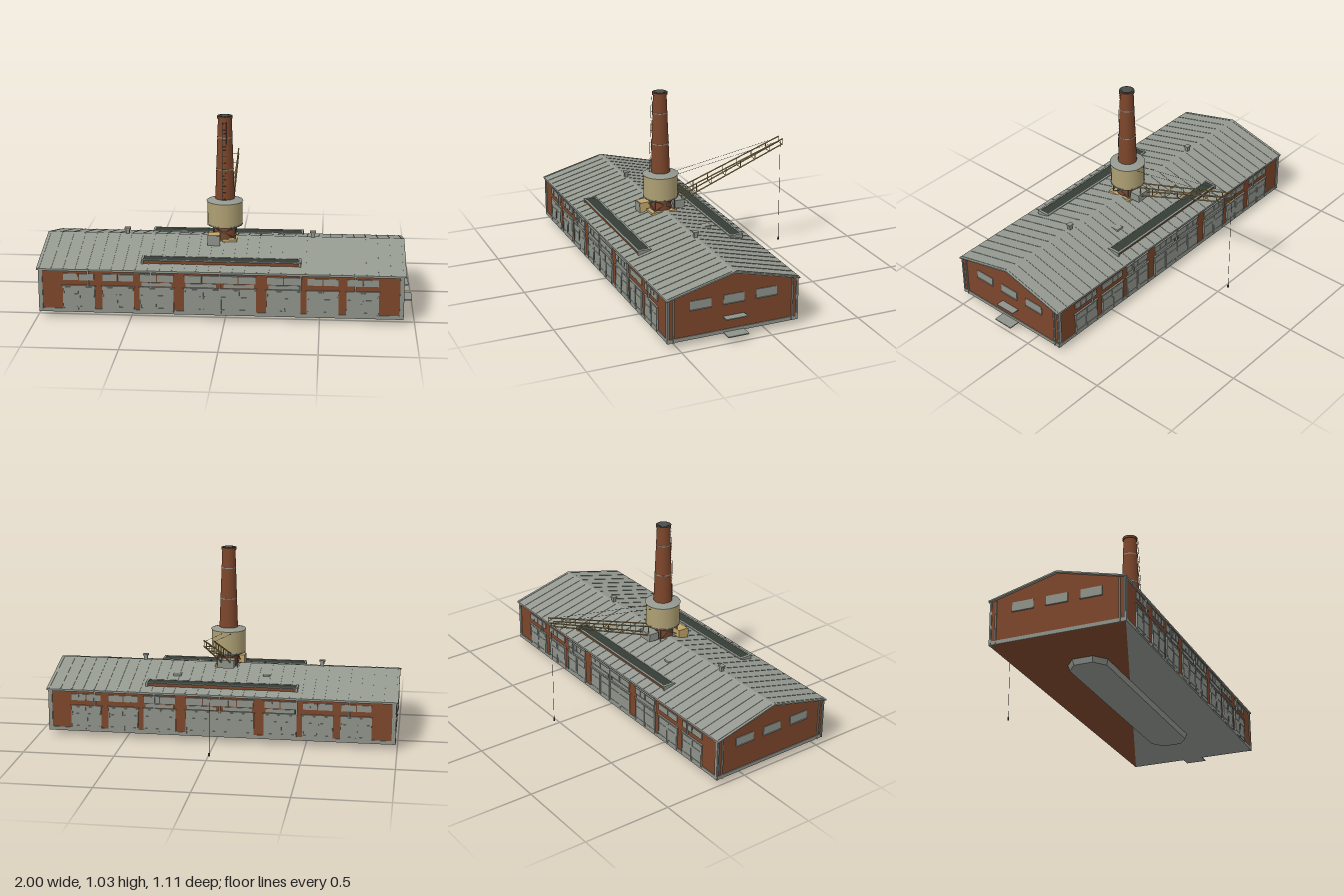
import * as THREE from 'three';

const mat = (name, color, side = THREE.FrontSide) => {
  const m = new THREE.MeshStandardMaterial({ color, side });
  m.name = name;
  return m;
};

export function createModel() {
  const brick = mat('brick', 0x7c462b);
  const roofGrey = mat('roof grey', 0x949990);
  const steel = mat('steel grey', 0x8d928a);
  const glass = mat('dark glass', 0x363d37);
  const tan = mat('tank tan', 0xaea074);
  const yellow = mat('crane ochre', 0xc2a468);
  const darkMetal = mat('dark metal', 0x4a4d49);
  const model = new THREE.Group();
  model.name = 'industrialBuilding';

  const add = (parent, name, geo, m, x = 0, y = 0, z = 0) => {
    const mesh = new THREE.Mesh(geo, m);
    mesh.name = name;
    mesh.position.set(x, y, z);
    parent.add(mesh);
    return mesh;
  };
  const box = (parent, name, m, w, h, d, x, y, z) =>
    add(parent, name, new THREE.BoxGeometry(w, h, d), m, x, y, z);
  // Bar between two points
  const bar = (parent, name, m, a, b, r, sides = 6) => {
    const p = new THREE.Vector3(...a), q = new THREE.Vector3(...b);
    const mesh = add(parent, name, new THREE.CylinderGeometry(r, r, p.distanceTo(q), sides), m);
    mesh.position.copy(p).add(q).multiplyScalar(0.5);
    mesh.quaternion.setFromUnitVectors(new THREE.Vector3(0, 1, 0), q.sub(p).normalize());
    return mesh;
  };
  const shapeOf = pts => new THREE.Shape(pts.map(p => new THREE.Vector2(...p)));
  // Outline given as [z, y] pairs, extruded along x and centred
  const alongX = (pts, length) =>
    new THREE.ExtrudeGeometry(shapeOf(pts), { depth: length, bevelEnabled: false })
      .translate(0, 0, -length / 2).rotateY(-Math.PI / 2);

  // Everything shares the centre of the hall
  const hall = new THREE.Group();
  hall.name = 'hall';
  hall.position.set(-0.025, 0, 0.187);
  model.add(hall);

  // Walls, plinth, underside
  add(hall, 'walls', alongX([[-0.36, 0.034], [0.36, 0.034], [0.36, 0.265], [0, 0.356], [-0.36, 0.265]], 1.92), brick);
  box(hall, 'plinth', steel, 1.928, 0.02, 0.728, 0, 0.04, 0);
  add(hall, 'brickUnderside', new THREE.ShapeGeometry(shapeOf([[-0.96, -0.36], [0.96, -0.36], [-0.96, 0.36]]))
    .rotateX(Math.PI / 2), brick, 0, 0.0295, 0);

  // Foundation slab with chamfered ends, narrowing downwards
  const outline = [[-0.64, -0.055], [-0.575, -0.109], [0.575, -0.109], [0.64, -0.055],
    [0.64, 0.055], [0.575, 0.109], [-0.575, 0.109], [-0.64, 0.055]];
  const slab = new THREE.ExtrudeGeometry(shapeOf(outline), { depth: 0.03, bevelEnabled: false }).rotateX(-Math.PI / 2);
  const sp = slab.attributes.position;
  for (let i = 0; i < sp.count; i++) {
    if (sp.getY(i) < 0.01) sp.setXYZ(i, sp.getX(i) * 0.985, 0, sp.getZ(i) * 0.93);
  }
  slab.computeVertexNormals();
  add(hall, 'foundation', slab, steel, -0.012, 0, 0);

  // Gable roof with standing seams
  const roofY = z => 0.364 - 0.257 * Math.abs(z);
  add(hall, 'roof', alongX([[0, 0.356], [0.368, 0.262], [0.368, 0.269], [0, 0.364], [-0.368, 0.269], [-0.368, 0.262]], 1.95), roofGrey);
  for (const s of [-1, 1]) {
    for (let i = 0; i <= 30; i++) {
      const seam = box(hall, 'roofSeam', roofGrey, 0.004, 0.003, 0.36, -0.96 + i * 0.064, roofY(0.187) + 0.0005, s * 0.187);
      seam.rotation.x = s * Math.atan(0.257);
    }
    // Long roof light: brick curb, glass and grey frame
    box(hall, 'roofLightCurb', brick, 0.83, 0.035, 0.062, 0, 0.287, s * 0.266);
    box(hall, 'roofLightGlass', glass, 0.834, 0.004, 0.064, 0, 0.3065, s * 0.266);
    for (const z of [0.232, 0.3]) box(hall, 'roofLightRail', steel, 0.846, 0.006, 0.01, 0, 0.307, s * z);
    for (const x of [-0.418, 0.418]) box(hall, 'roofLightEnd', steel, 0.012, 0.03, 0.074, x, 0.296, s * 0.266);
    box(hall, 'gutter', steel, 1.93, 0.008, 0.008, 0, 0.262, s * 0.364);
  }
  // Ridge vents and roof hatches
  for (const x of [-0.535, 0.48]) {
    box(hall, 'ridgeVent', steel, 0.02, 0.03, 0.018, x, 0.37, 0);
    box(hall, 'ventCap', steel, 0.032, 0.008, 0.026, x, 0.391, 0);
  }
  box(hall, 'roofHatch', roofGrey, 0.045, 0.02, 0.045, 0.267, 0.32, -0.155);
  box(hall, 'roofHatch', roofGrey, 0.04, 0.02, 0.024, -0.235, 0.325, -0.135);

  // Long facades: doors, transom windows, lintels and downpipes
  const bays = [[0, 0.38, 4], ...[-1, 1].flatMap(s => [[s * 0.335, 0.18, 2], [s * 0.54, 0.168, 2], [s * 0.75, 0.17, 2]])];
  for (const turn of [0, Math.PI]) {
    const f = new THREE.Group();
    f.name = turn ? 'backFacade' : 'frontFacade';
    f.rotation.y = turn;
    hall.add(f);
    for (const [x, w, leaves] of bays) {
      const leaf = w / leaves;
      for (let i = 0; i < leaves; i++) {
        const c = x - w / 2 + leaf * (i + 0.5);
        box(f, 'doorLeaf', steel, leaf, 0.136, 0.008, c, 0.107, 0.362);
        for (const y of [0.06, 0.13, 0.168]) box(f, 'doorRail', steel, leaf - 0.008, 0.006, 0.003, c, y, 0.3665);
        for (const o of [-1, 1]) box(f, 'doorStile', steel, 0.005, 0.128, 0.003, c + o * (leaf / 2 - 0.005), 0.107, 0.3665);
        box(f, 'transomWindow', steel, leaf - 0.006, 0.036, 0.008, c, 0.226, 0.361);
        box(f, 'windowBar', steel, 0.003, 0.034, 0.002, c, 0.226, 0.3655);
      }
      box(f, 'doorTrack', steel, w + 0.012, 0.005, 0.012, x, 0.177, 0.363);
      if (Math.abs(x) < 0.4) {
        for (const s of leaves > 2 ? [-1, 1] : [0]) box(f, 'lintelPlate', steel, 0.16, 0.02, 0.007, x + s * 0.1, 0.193, 0.361);
        box(f, 'canopy', steel, w, 0.004, 0.012, x, 0.247, 0.364);
      }
    }
    for (const x of [0, -0.365, 0.425, -0.7, 0.71]) box(f, 'downpipe', steel, 0.009, 0.09, 0.01, x, 0.22, 0.364);
    for (const x of [-0.953, 0.953]) box(f, 'cornerPost', steel, 0.018, 0.235, 0.012, x, 0.147, 0.359);
  }

  // Gable ends: windows and corner strips
  for (const s of [-1, 1]) {
    for (const z of [-0.183, 0, 0.183]) {
      box(hall, 'gableWindow', steel, 0.008, 0.05, 0.115, s * 0.96, 0.215, z);
      box(hall, 'windowSill', steel, 0.014, 0.004, 0.118, s * 0.962, 0.191, z);
    }
    for (const z of [-0.33, 0.33]) box(hall, 'gablePilaster', steel, 0.01, 0.235, 0.008, s * 0.962, 0.147, z);
    for (const z of [-0.358, 0.358]) box(hall, 'cornerStrip', steel, 0.01, 0.235, 0.008, s * 0.961, 0.147, z);
  }
  // Entrance step and canopy on one gable
  box(hall, 'entranceStep', steel, 0.065, 0.006, 0.115, 0.9925, 0.033, 0);
  box(hall, 'entranceCanopy', steel, 0.045, 0.006, 0.118, 0.98, 0.12, 0);

  // Chimney with dark mouth and steel bands
  const stack = new THREE.Group();
  stack.name = 'chimney';
  hall.add(stack);
  add(stack, 'chimneyShaft', new THREE.CylinderGeometry(0.037, 0.061, 0.69, 24, 1, true), brick, 0, 0.675, 0);
  add(stack, 'chimneyCap', new THREE.CylinderGeometry(0.042, 0.042, 0.014, 24), [brick, glass, brick], 0, 1.023, 0);
  add(stack, 'flue', new THREE.CylinderGeometry(0.03, 0.03, 0.004, 24), darkMetal, 0, 1.03, 0);
  for (const y of [0.915, 0.74]) {
    const r = 0.061 - ((y - 0.33) / 0.69) * 0.024 + 0.001;
    add(stack, 'chimneyBand', new THREE.CylinderGeometry(r, r, 0.005, 24), steel, 0, y, 0);
  }
  // Ladder
  for (const x of [-0.01, 0.01]) bar(stack, 'ladderRail', steel, [x, 0.575, 0.063], [x, 1.005, 0.046], 0.001, 4);
  for (let i = 0; i < 24; i++) {
    const t = (i + 0.5) / 24, y = 0.575 + 0.43 * t, z = 0.063 - 0.017 * t;
    bar(stack, 'ladderRung', steel, [-0.01, y, z], [0.01, y, z], 0.0007, 4);
  }

  // Water tank around the chimney, on braced legs
  const tank = new THREE.Group();
  tank.name = 'tank';
  hall.add(tank);
  add(tank, 'tankBody', new THREE.CylinderGeometry(0.095, 0.095, 0.13, 24), tan, 0, 0.497, 0);
  add(tank, 'tankRim', new THREE.CylinderGeometry(0.097, 0.097, 0.006, 24), steel, 0, 0.431, 0);
  add(tank, 'tankRoof', new THREE.CylinderGeometry(0.056, 0.1, 0.013, 24), roofGrey, 0, 0.568, 0);
  const leg = 0.058;
  for (let i = 0; i < 4; i++) {
    const side = new THREE.Group();
    side.name = 'tankLegs';
    side.rotation.y = (i * Math.PI) / 2;
    tank.add(side);
    bar(side, 'tankLeg', steel, [leg, 0.34, leg], [leg, 0.43, leg], 0.003);
    bar(side, 'legBrace', steel, [-leg, 0.365, leg + 0.004], [leg, 0.425, leg + 0.004], 0.002);
    bar(side, 'legBrace', steel, [leg, 0.365, leg + 0.004], [-leg, 0.425, leg + 0.004], 0.002);
  }

  // Crane base, cabin and winch box
  const crane = new THREE.Group();
  crane.name = 'crane';
  hall.add(crane);
  box(crane, 'cranePlatform', yellow, 0.08, 0.012, 0.15, 0.03, 0.355, 0.005);
  box(crane, 'cabin', yellow, 0.064, 0.058, 0.06, -0.053, 0.365, 0.083);
  box(crane, 'cabinWindow', steel, 0.068, 0.054, 0.005, -0.053, 0.364, 0.115);
  box(crane, 'winchBox', steel, 0.095, 0.046, 0.062, 0, 0.382, -0.093);

  // Lattice boom
  const upper = z => 0.44 + ((-0.097 - z) / 0.643) * 0.23;
  const lower = z => 0.395 + ((-0.122 - z) / 0.618) * 0.245;
  for (const x of [-0.025, 0.025]) {
    bar(crane, 'boomUpperChord', yellow, [x, 0.44, -0.097], [x, 0.67, -0.74], 0.0038, 8);
    bar(crane, 'boomLowerChord', yellow, [x, 0.395, -0.122], [x, 0.64, -0.74], 0.0038, 8);
  }
  for (let i = 0; i < 8; i++) {
    const z = i === 7 ? -0.738 : -0.117 - i * 0.09;
    for (const x of [-0.025, 0.025]) bar(crane, 'boomPost', yellow, [x, lower(z), z], [x, upper(z), z], 0.0022);
    bar(crane, 'boomCrossBar', yellow, [-0.025, lower(z), z], [0.025, lower(z), z], 0.0018);
  }
  // Stay cables, hoist rope and hook block
  for (const x of [-0.025, 0.025]) bar(crane, 'stayCable', darkMetal, [x, 0.55, -0.088], [x, 0.662, -0.73], 0.0009, 4);
  bar(crane, 'hoistRope', darkMetal, [0, 0.65, -0.738], [0, 0.058, -0.738], 0.001, 5);
  add(crane, 'hookBlock', new THREE.CylinderGeometry(0.005, 0.005, 0.016, 8), darkMetal, 0, 0.051, -0.738);
  return model;
}
